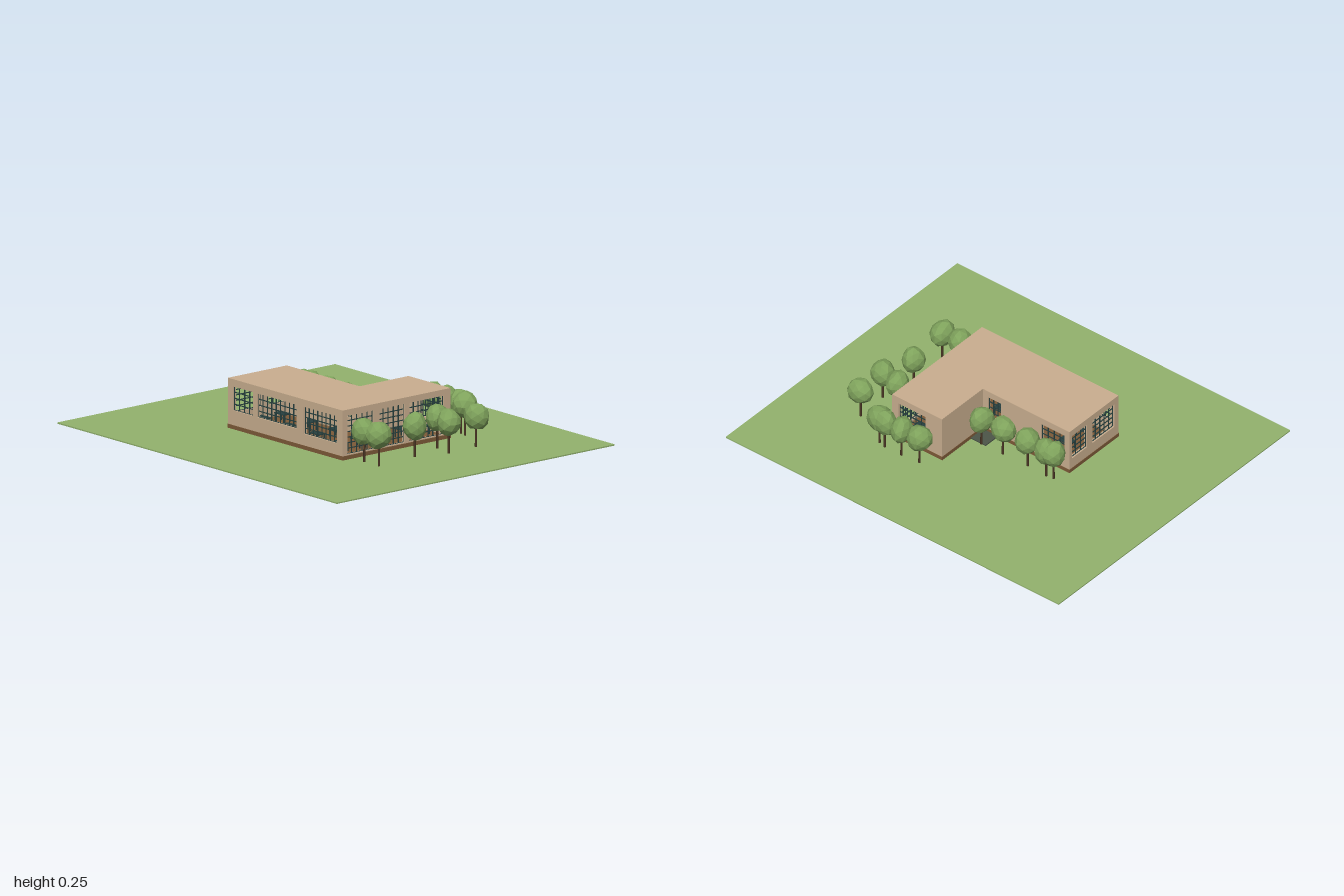
import * as THREE from 'three';
import { mergeGeometries } from 'three/addons/utils/BufferGeometryUtils.js';

const material = (name, color, flatShading = false) =>
  Object.assign(new THREE.MeshStandardMaterial({ color, flatShading }), { name });

export function createModel() {
  const mats = {
    grass: material('grass green', 0x92b26d),
    wall: material('wall tan', 0xc9ae8f),
    plinth: material('plinth brown', 0x7d5a38),
    frame: material('frame dark teal', 0x27403f),
    leaf: material('leaf green', 0x7fa35c, true),
    trunk: material('trunk brown', 0x4a3524),
    paving: material('paving grey', 0x4c5548),
  };
  const model = new THREE.Group();
  model.name = 'buildingWithGarden';

  const add = (parent, name, geometry, mat, x = 0, y = 0, z = 0) => {
    const mesh = new THREE.Mesh(geometry, mat);
    mesh.name = name;
    mesh.position.set(x, y, z);
    parent.add(mesh);
    return mesh;
  };
  const box = (w, h, d, x, y, z) => new THREE.BoxGeometry(w, h, d).translate(x, y, z);

  // Lawn and the paved patch in the inner corner
  add(model, 'lawn', new THREE.BoxGeometry(2, 0.006, 1.7), mats.grass, 0, 0.003, 0);
  add(model, 'paving', new THREE.BoxGeometry(0.09, 0.006, 0.09), mats.paving, 0.065, 0.009, -0.095);

  const HEIGHT = 0.245, THICK = 0.02, BASE = 0.025;

  // Rectangle outline used for walls and their openings
  const rect = (Type, u0, u1, v0, v1) => {
    const r = new Type();
    r.moveTo(u0, v0);
    r.lineTo(u1, v0);
    r.lineTo(u1, v1);
    r.lineTo(u0, v1);
    r.closePath();
    return r;
  };

  // Barred window filling one opening
  const windowBars = ([u0, u1, v0, v1]) => {
    const bars = [], w = u1 - u0, h = v1 - v0, z = -THICK / 2, t = 0.004;
    const cols = Math.max(2, Math.round(w / 0.032)), rows = Math.round(h / 0.027);
    for (let i = 0; i <= cols; i++) {
      bars.push(box(t, h, t, u0 + (w * i) / cols, (v0 + v1) / 2, z));
    }
    for (let j = 0; j <= rows; j++) {
      bars.push(box(w, t, t, (u0 + u1) / 2, v0 + (h * j) / rows, z));
    }
    return mergeGeometries(bars);
  };

  // Each wall: name, start x, start z, turn about y, length, openings [u0, u1, v0, v1]
  const walls = [
    ['frontWall', -0.41, 0.31, 0, 0.82,
      [[0.034, 0.177, 0.095, 0.21], [0.207, 0.49, 0.095, 0.21], [0.54, 0.78, 0.08, 0.21]]],
    ['rightWall', 0.41, 0.31, Math.PI / 2, 0.66,
      [[0.03, 0.19, 0.03, 0.215], [0.224, 0.38, 0.03, 0.215], [0.41, 0.62, 0.03, 0.215]]],
    ['backWall', 0.41, -0.35, Math.PI, 0.3, [[0.04, 0.2, 0.08, 0.21]]],
    ['courtSideWall', 0.11, -0.35, -Math.PI / 2, 0.3, []],
    ['courtBackWall', 0.11, -0.05, Math.PI, 0.52,
      [[0.03, 0.11, 0.09, 0.21], [0.35, 0.49, 0.09, 0.21]]],
    ['leftWall', -0.41, -0.05, -Math.PI / 2, 0.36,
      [[0.02, 0.13, 0.08, 0.21], [0.17, 0.33, 0.08, 0.21]]],
  ];
  for (const [name, x, z, turn, length, openings] of walls) {
    const group = new THREE.Group();
    group.name = name;
    group.position.set(x, 0, z);
    group.rotation.y = turn;
    const shape = rect(THREE.Shape, 0, length, 0, HEIGHT - 0.01);
    shape.holes = openings.map((o) => rect(THREE.Path, ...o));
    const panel = new THREE.ExtrudeGeometry(shape, { depth: THICK, bevelEnabled: false });
    add(group, 'wallPanel', panel, mats.wall, 0, 0, -THICK);
    add(group, 'plinth', box(length + 0.004, BASE, 0.004, length / 2, BASE / 2, 0), mats.plinth);
    openings.forEach((o) => add(group, 'windowFrame', windowBars(o), mats.frame));
    model.add(group);
  }

  // L-shaped roof and floor slabs
  const slab = (name, inset, thick, top, mat) => {
    const a = 0.41 - inset, front = -0.31 + inset, back = 0.35 - inset;
    const notchX = 0.11 + inset, notchZ = 0.05 - inset;
    const outline = [[-a, front], [a, front], [a, back], [notchX, back], [notchX, notchZ], [-a, notchZ]];
    const shape = new THREE.Shape(outline.map(([x, y]) => new THREE.Vector2(x, y)));
    const geo = new THREE.ExtrudeGeometry(shape, { depth: thick, bevelEnabled: false });
    geo.rotateX(-Math.PI / 2);
    add(model, name, geo, mat, 0, top - thick, 0);
  };
  slab('roof', 0, 0.015, HEIGHT, mats.wall);
  slab('floor', 0.021, 0.01, 0.02, mats.plinth);

  // Tables inside, seen through the windows
  const tableParts = [box(0.07, 0.005, 0.045, 0, 0.04, 0)];
  for (const sx of [-1, 1]) {
    for (const sz of [-1, 1]) tableParts.push(box(0.005, 0.04, 0.005, sx * 0.03, 0.02, sz * 0.018));
  }
  const table = mergeGeometries(tableParts);
  const tableSpots = [[0.3, -0.27], [0.3, -0.15], [0.3, 0], [0.3, 0.12], [0.3, 0.23],
    [0.1, 0.08], [0.1, 0.2], [-0.1, 0.08], [-0.1, 0.2], [-0.29, 0.08], [-0.29, 0.2]];
  for (const [x, z] of tableSpots) add(model, 'table', table, mats.frame, x, 0.02, z);

  // Faceted crown: a sphere nudged by a smooth rule, different for each seed
  const crown = (seed) => {
    const geo = new THREE.IcosahedronGeometry(0.066, 1);
    const p = geo.attributes.position, v = new THREE.Vector3();
    for (let i = 0; i < p.count; i++) {
      v.fromBufferAttribute(p, i);
      v.multiplyScalar(1 + 0.1 * Math.sin(v.x * 45 + seed * 2.1) * Math.cos(v.z * 38 + seed));
      p.setXYZ(i, v.x, v.y, v.z);
    }
    geo.rotateY(seed * 1.3);
    geo.computeVertexNormals();
    return geo;
  };
  const trees = [
    [-0.38, -0.13], [-0.34, -0.135], [-0.225, -0.13], [-0.08, -0.135], [0.045, -0.14],
    [0.18, -0.43], [0.28, -0.44], [0.38, -0.44], [0.42, -0.43],
    [0.615, -0.33], [0.52, -0.175], [0.625, -0.155], [0.575, 0.01], [0.495, 0.25], [0.6, 0.25],
  ];
  trees.forEach(([x, z], i) => {
    const tree = new THREE.Group();
    tree.name = 'tree';
    tree.position.set(x, 0, z);
    add(tree, 'trunk', new THREE.CylinderGeometry(0.005, 0.006, 0.12, 6), mats.trunk, 0, 0.06, 0);
    const top = add(tree, 'crown', crown(i + 1), mats.leaf, 0, 0.153, 0);
    const narrow = i % 3 === 2 ? 0.9 : 0.82;
    top.scale.set(i % 2 ? 0.95 : narrow, 1, i % 2 ? narrow : 0.95);
    model.add(tree);
  });

  return model;
}
